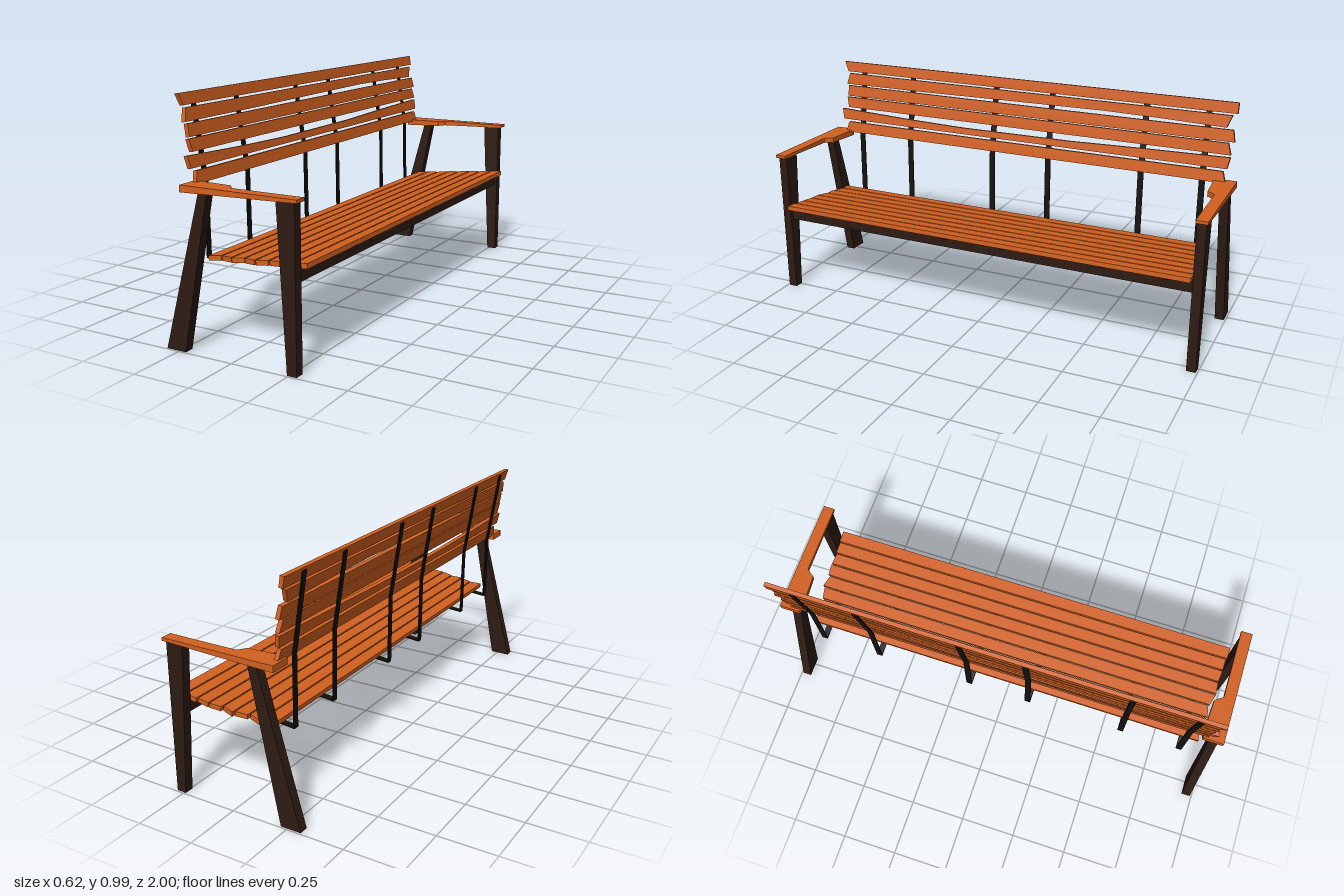
import * as THREE from 'three';

const wood = new THREE.MeshStandardMaterial({ color: 0xd2601f, flatShading: true });
const darkWood = new THREE.MeshStandardMaterial({ color: 0x2e1b13, flatShading: true });
const metal = new THREE.MeshStandardMaterial({ color: 0x14100e, flatShading: true });

// Flat plate: outline of [x, y] points, extruded along z
function plate(points, depth) {
  const shape = new THREE.Shape(points.map(([x, y]) => new THREE.Vector2(x, y)));
  return new THREE.ExtrudeGeometry(shape, { depth, bevelEnabled: false });
}

function add(parent, name, geometry, material) {
  const mesh = new THREE.Mesh(geometry, material);
  mesh.name = name;
  parent.add(mesh);
  return mesh;
}

// Board running along z inside a tilted panel; outline given as [z, height]
function addBoard(panel, name, outline, thickness, offset) {
  const mesh = add(panel, name, plate(outline.map(([z, h]) => [-z, h]), thickness), wood);
  mesh.rotation.y = Math.PI / 2;
  mesh.position.x = offset;
}

function addPanel(parent, name, x, y, tilt) {
  const panel = new THREE.Group();
  panel.name = name;
  panel.position.set(x, y, 0);
  panel.rotation.z = tilt;
  parent.add(panel);
  return panel;
}

export function createModel() {
  const bench = new THREE.Group();
  bench.name = 'bench';

  // Legs and armrests on both ends
  const rearLeg = [[-0.31, 0], [-0.22, 0], [-0.095, 0.637], [-0.135, 0.635]];
  const frontLeg = [[0.243, 0], [0.285, 0], [0.285, 0.648], [0.207, 0.646]];
  const armPlan = [[-0.215, 1], [0.3, 1], [0.3, 0.95], [-0.015, 0.95], [-0.04, 0.915], [-0.185, 0.905], [-0.215, 0.91]];
  for (const side of [1, -1]) {
    const end = side > 0 ? 'left' : 'right';
    add(bench, end + 'RearLeg', plate(rearLeg, 0.04), darkWood).position.z = side * 0.973 - 0.02;
    add(bench, end + 'FrontLeg', plate(frontLeg, 0.04), darkWood).position.z = side * 0.973 - 0.02;

    // Armrest, its underside rising toward the front
    const arm = plate(armPlan.map(([x, z]) => [x, -z * side]), 0.028);
    const p = arm.attributes.position;
    for (let i = 0; i < p.count; i++) {
      if (p.getZ(i) < 0.01) p.setZ(i, 0.015 * (p.getX(i) + 0.215) / 0.515);
    }
    arm.computeVertexNormals();
    const armrest = add(bench, end + 'Armrest', arm, wood);
    armrest.rotation.x = -Math.PI / 2;
    armrest.position.y = 0.632;
  }

  // Front beam between the front legs
  add(bench, 'frontBeam', new THREE.BoxGeometry(0.04, 0.048, 1.91), darkWood).position.set(0.253, 0.368, 0);

  // Seat slats with slightly uneven ends
  const seat = addPanel(bench, 'seat', -0.147, 0.359, -Math.PI / 2 + 0.09);
  const seatEnds = [[0.925, 0.915], [0.915, 0.93], [0.935, 0.925], [0.93, 0.945],
    [0.945, 0.94], [0.94, 0.945], [0.945, 0.945], [0.95, 0.95]];
  seatEnds.forEach(([a, b], i) => {
    const h0 = i * 0.058, h1 = h0 + 0.052;
    addBoard(seat, 'seatSlat' + (i + 1), [[a, h0], [b, h1], [-a, h1], [-b, h0]], 0.02, -0.02);
  });

  // Backrest slats: outlines of rough-cut boards, heights above the panel foot
  const back = addPanel(bench, 'backrest', -0.203, 0.65, 0.16);
  const backSlats = [
    [[0.935, 0], [0.92, 0.05], [-0.94, 0.05], [-0.955, 0]],
    [[0.95, 0.062], [0.96, 0.112], [0.6, 0.098], [0.3, 0.091], [-0.25, 0.094], [-0.6, 0.104], [-0.965, 0.112], [-0.955, 0.062]],
    [[0.925, 0.122], [0.935, 0.172], [-0.95, 0.172], [-0.965, 0.122]],
    [[0.93, 0.178], [0.93, 0.229], [-0.965, 0.229], [-0.975, 0.178]],
    [[0.94, 0.236], [0.925, 0.289], [-0.955, 0.289], [-0.935, 0.236], [-0.65, 0.244], [-0.4, 0.248], [0.1, 0.243], [0.5, 0.238]],
    [[0.935, 0.298], [0.955, 0.345], [-0.975, 0.345], [-0.975, 0.298]],
  ];
  backSlats.forEach((outline, i) => addBoard(back, 'backSlat' + (i + 1), outline, 0.018, 0));

  // Bent flat bars carrying the seat and the backrest
  const strap = [[0.3, 0.398], [-0.147, 0.358], [-0.199, 0.353], [-0.203, 0.65], [-0.256, 0.98],
    [-0.261, 0.98], [-0.208, 0.65], [-0.204, 0.347], [-0.147, 0.352], [0.3, 0.392]];
  for (const z of [0.14, 0.58, 0.852]) {
    for (const side of [1, -1]) {
      add(bench, 'supportStrap', plate(strap, 0.026), metal).position.z = side * z - 0.013;
    }
  }

  return bench;
}
